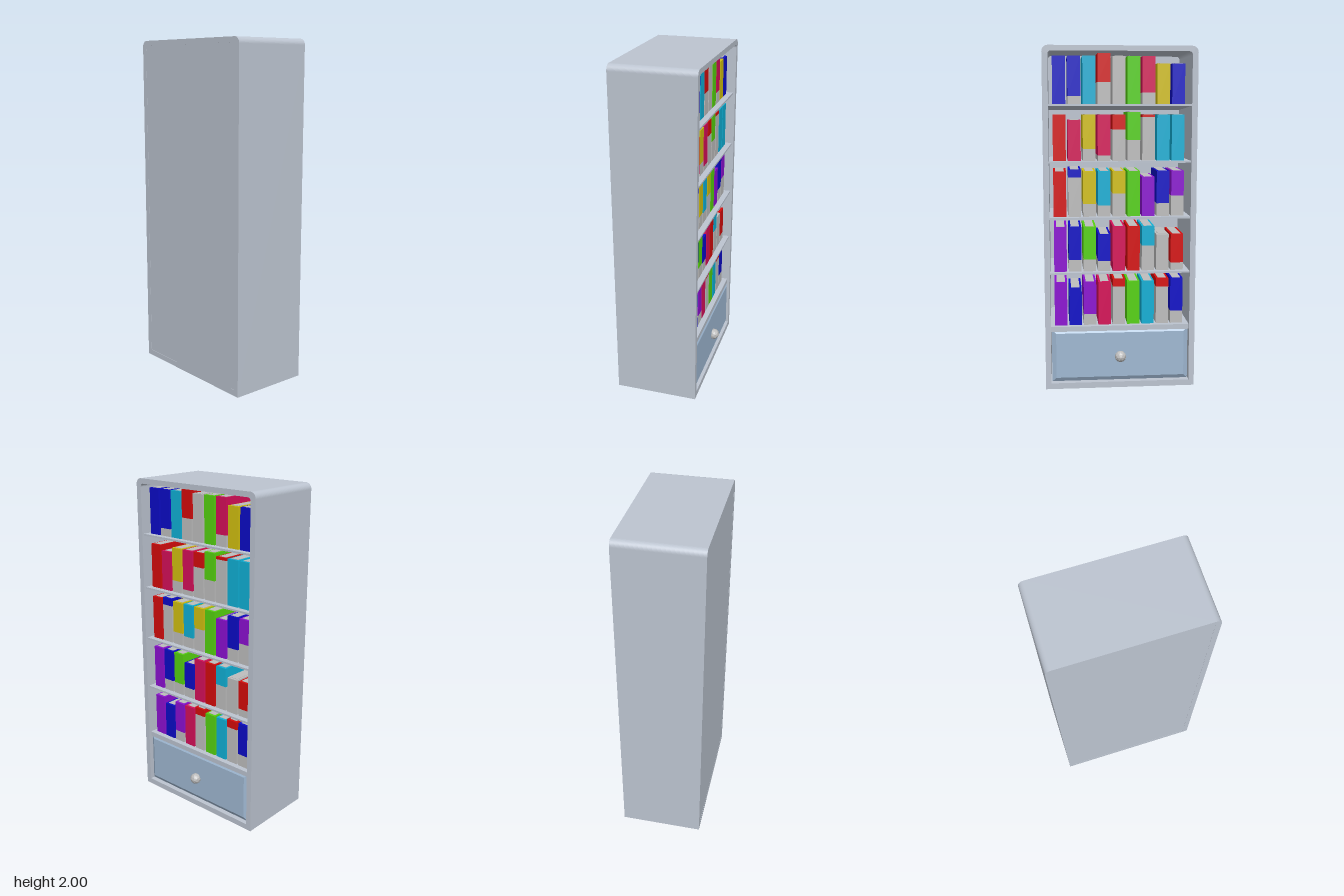
import * as THREE from 'three';

const mat = (name, color) => {
  const m = new THREE.MeshStandardMaterial({ color });
  m.name = name;
  return m;
};

export function createModel() {
  const model = new THREE.Group();
  model.name = 'bookcase';
  const body = mat('cabinet grey', 0xbcc4d0);
  const drawerBlue = mat('drawer blue', 0x9fb8d2);
  const covers = {
    W: mat('paper grey', 0xbebebe), R: mat('red', 0xd60c0c), B: mat('blue', 0x0c0cc8),
    C: mat('cyan', 0x0fb0d6), Y: mat('yellow', 0xd2c00f), G: mat('green', 0x56d20f),
    P: mat('pink', 0xd60f59), V: mat('violet', 0x8c0fd2),
  };

  const add = (parent, name, geometry, material, x = 0, y = 0, z = 0) => {
    const mesh = new THREE.Mesh(geometry, material);
    mesh.name = name;
    mesh.position.set(x, y, z);
    parent.add(mesh);
    return mesh;
  };
  // box given by its limits on each axis
  const slab = (parent, name, material, x0, x1, y0, y1, z0, z1) =>
    add(parent, name, new THREE.BoxGeometry(x1 - x0, y1 - y0, z1 - z0), material,
      (x0 + x1) / 2, (y0 + y1) / 2, (z0 + z1) / 2);
  // outline with rounded top corners
  const arch = (path, w, y0, y1, r) => {
    path.moveTo(-w, y0);
    path.lineTo(w, y0);
    path.lineTo(w, y1 - r);
    path.absarc(w - r, y1 - r, r, 0, Math.PI / 2, false);
    path.lineTo(-w + r, y1);
    path.absarc(-w + r, y1 - r, r, Math.PI / 2, Math.PI, false);
    path.lineTo(-w, y0);
    return path;
  };

  // Cabinet shell, open towards +x
  const BACK = -0.262, FRONT = 0.228, W = 0.443, IN = 0.41;
  const outline = arch(new THREE.Shape(), W, 0, 2, 0.035);
  outline.holes.push(arch(new THREE.Path(), IN, 0.035, 1.97, 0.02));
  const shell = new THREE.ExtrudeGeometry(outline, { depth: FRONT - BACK, bevelEnabled: false, curveSegments: 6 });
  shell.rotateY(Math.PI / 2);
  add(model, 'cabinetShell', shell, body, BACK);
  slab(model, 'backPanel', body, BACK + 0.001, BACK + 0.03, 0.03, 1.972, -IN - 0.005, IN + 0.005);

  // Shelves: thin front edge, underside sloping down to the back
  const profile = new THREE.Shape();
  profile.moveTo(-0.235, 0);
  profile.lineTo(-0.235, -0.035);
  profile.lineTo(0.215, -0.011);
  profile.lineTo(0.215, 0);
  const shelfGeo = new THREE.ExtrudeGeometry(profile, { depth: 2 * IN, bevelEnabled: false });
  shelfGeo.translate(0, 0, -IN);
  const bases = [1.675, 1.35, 1.025, 0.7, 0.375];
  bases.slice(0, 4).forEach((y) => add(model, 'shelf', shelfGeo, body, 0, y, 0));
  slab(model, 'bottomShelf', body, -0.235, 0.212, 0.345, 0.375, -IN, IN);

  // Drawer with chamfered front and a faceted knob
  const b = 0.025, dw = IN - 0.005 - b, y0 = 0.04 + b, y1 = 0.36 - b;
  const panel = new THREE.Shape([[-dw, y0], [dw, y0], [dw, y1], [-dw, y1]].map((p) => new THREE.Vector2(...p)));
  const drawerGeo = new THREE.ExtrudeGeometry(panel,
    { depth: 0.2, bevelSize: b, bevelThickness: 0.015, bevelSegments: 1 });
  drawerGeo.rotateY(Math.PI / 2);
  add(model, 'drawer', drawerGeo, drawerBlue, 0.003);
  const knobGeo = new THREE.IcosahedronGeometry(0.034, 1);
  knobGeo.computeVertexNormals();
  add(model, 'knob', knobGeo, covers.W, 0.228, 0.19, 0);

  // Books: colour, top, and (optional) height where the pale lower part ends
  const rows = [
    'B1.945 B1.945/1.72 C1.945 R1.96/1.80 W1.945 G1.945 P1.945/1.74 Y1.905 B1.905',
    'R1.615 P1.585 Y1.615/1.42 P1.615/1.38 R1.615/1.53 G1.63/1.47 R1.615/1.60 C1.615 C1.615',
    'R1.29 B1.30/1.255 Y1.29/1.10 C1.29/1.09 Y1.29/1.16 G1.29 V1.255 B1.29/1.10 V1.29/1.145',
    'V.965 B.965/.77 G.965/.77 B.92/.76 P.965 R.965 C.965/.85 W.915 R.915/.745',
    'V.635 B.60 V.635/.44 P.635 R.65/.605 G.635 C.635 R.65/.60 B.65/.45',
  ];
  const x0 = -0.08, x1 = 0.18;
  rows.forEach((row, r) => {
    const shelfBooks = new THREE.Group();
    shelfBooks.name = 'bookRow';
    model.add(shelfBooks);
    row.split(' ').forEach((code, i) => {
      const [top, split] = code.slice(1).split('/').map(Number);
      const z = 0.349 - 0.086 * i, h = 0.037, base = bases[r];
      const low = split || base;
      slab(shelfBooks, 'bookCover', covers[code[0]], x0, x1, low, top, z - h, z + h);
      if (split) slab(shelfBooks, 'bookLowerPart', covers.W, x0, x1, base, split, z - h, z + h);
      // page edges between the covers
      slab(shelfBooks, 'pages', covers.W, x0 + 0.002, x1 - 0.015, top - 0.004, top + 0.002, z - h + 0.012, z + h - 0.012);
    });
  });
  return model;
}
